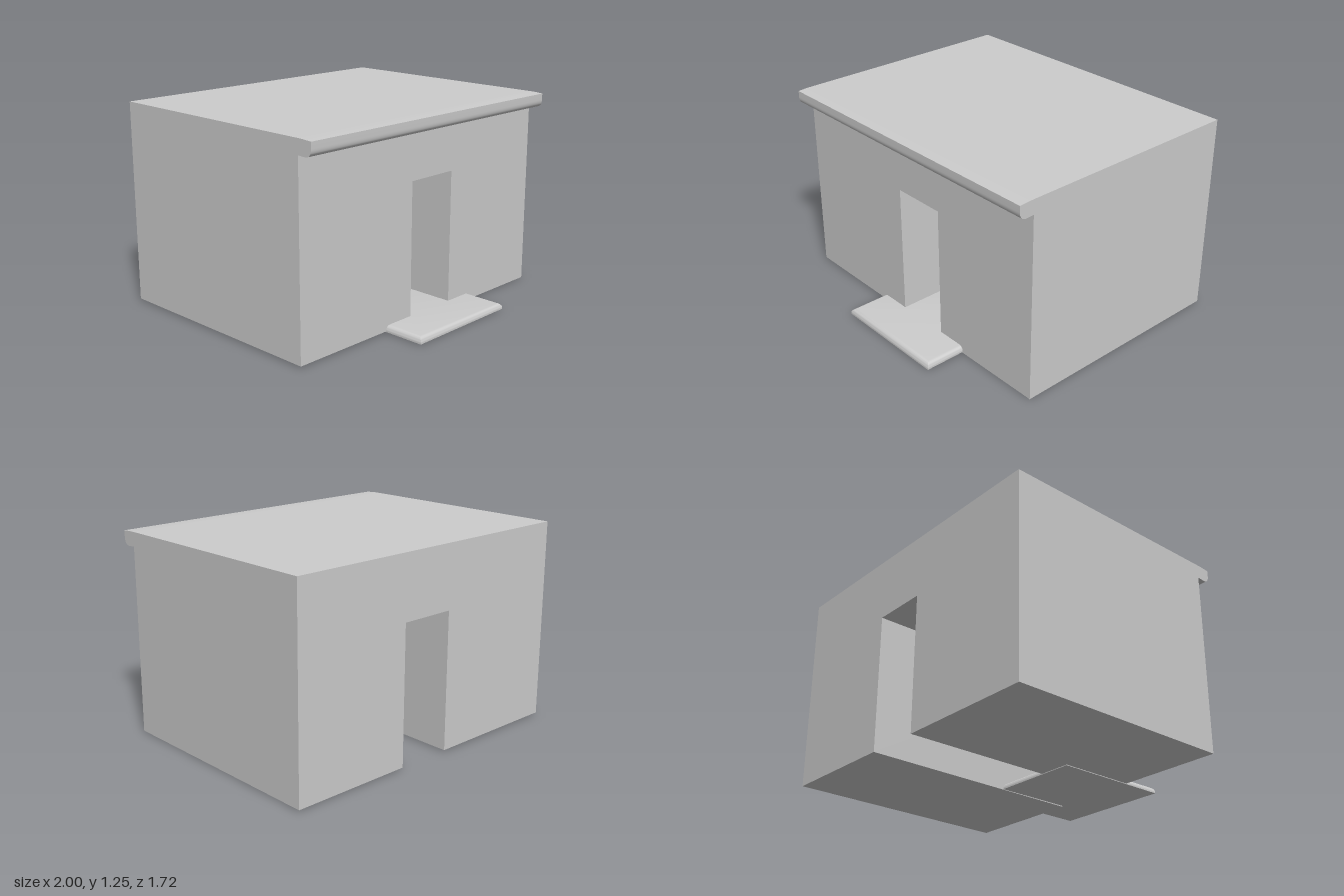
import * as THREE from 'three';
import { toCreasedNormals } from 'three/addons/utils/BufferGeometryUtils.js';

const material = new THREE.MeshStandardMaterial({ color: 0xcccccc });
const FRONT = 0.6, BACK = -0.855;

function addPart(group, name, geometry) {
  const mesh = new THREE.Mesh(toCreasedNormals(geometry, 0.6), material);
  mesh.name = name;
  group.add(mesh);
}

// Move every vertex by a rule
function bend(geometry, rule) {
  const p = geometry.attributes.position;
  const v = new THREE.Vector3();
  for (let i = 0; i < p.count; i++) {
    rule(v.fromBufferAttribute(p, i));
    p.setXYZ(i, v.x, v.y, v.z);
  }
  return geometry;
}

// Solid walls with a doorway passing right through
function wallsGeometry() {
  const outline = new THREE.Shape([
    [-1, 0.01], [-0.12, 0.01], [-0.12, 0.86], [0.23, 0.86],
    [0.23, 0], [1, 0], [1, 1.243], [-1, 1.243],
  ].map(([x, y]) => new THREE.Vector2(x, y)));
  const geometry = new THREE.ExtrudeGeometry(outline, { depth: FRONT - BACK, bevelEnabled: false });
  geometry.translate(0, 0, BACK);
  return bend(geometry, (v) => {
    if (v.z > 0) return;
    if (v.y > 1.2) v.y = 1.25;                 // roof rises slightly to the back
    else if (v.y < 0.005) v.y = 0.008;         // uneven footing
  });
}

// Overhanging cornice: side profile swept across the width
function corniceGeometry() {
  const profile = new THREE.Shape();
  profile.moveTo(FRONT, 1.155);
  profile.lineTo(0.648, 1.152);
  profile.bezierCurveTo(0.68, 1.152, 0.695, 1.168, 0.695, 1.2);
  profile.lineTo(0.695, 1.238);
  profile.lineTo(0.64, 1.242);
  profile.lineTo(FRONT, 1.243);
  const geometry = new THREE.ExtrudeGeometry(profile, { depth: 2, bevelEnabled: false, curveSegments: 10 });
  return geometry.rotateY(-Math.PI / 2).translate(1, 0, 0);
}

// Doorstep slab with rounded upper edges and a flat underside
function doorstepGeometry() {
  const r = 0.03, x0 = -0.33 + r, x1 = 0.43 - r, z0 = 0.1 + r, z1 = 0.86 - r;
  const plan = new THREE.Shape([[x0, -z1], [x1, -z1], [x1, -z0], [x0, -z0]]
    .map(([x, y]) => new THREE.Vector2(x, y)));
  const geometry = new THREE.ExtrudeGeometry(plan, {
    depth: 0.008, bevelThickness: r, bevelSize: r, bevelSegments: 6,
  });
  geometry.rotateX(-Math.PI / 2);
  bend(geometry, (v) => { v.y = Math.max(v.y, 0); });
  return geometry.translate(0, 0.006, 0);
}

export function createModel() {
  const group = new THREE.Group();
  group.name = 'building';
  addPart(group, 'walls', wallsGeometry());
  addPart(group, 'cornice', corniceGeometry());
  addPart(group, 'doorstep', doorstepGeometry());
  return group;
}
